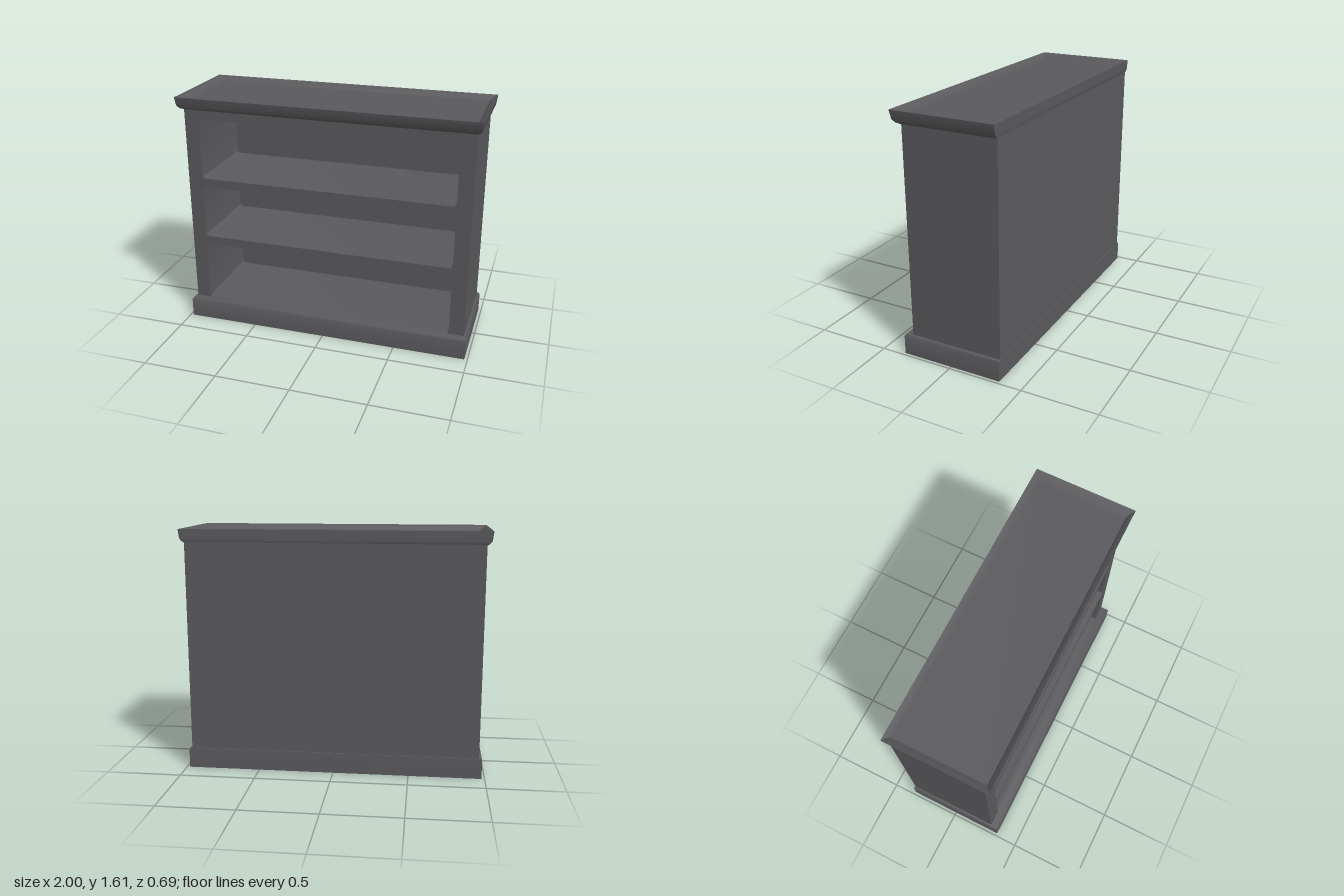
import * as THREE from 'three';
import { toCreasedNormals } from 'three/addons/utils/BufferGeometryUtils.js';

// Rectangle with small rounded corners, as a shape or a hole
function roundedRect(path, x, y0, y1, r) {
  path.moveTo(-x + r, y0);
  path.lineTo(x - r, y0);
  path.quadraticCurveTo(x, y0, x, y0 + r);
  path.lineTo(x, y1 - r);
  path.quadraticCurveTo(x, y1, x - r, y1);
  path.lineTo(-x + r, y1);
  path.quadraticCurveTo(-x, y1, -x, y1 - r);
  path.lineTo(-x, y0 + r);
  path.quadraticCurveTo(-x, y0, -x + r, y0);
  return path;
}

// Rectangular moulding through rows of [half width, front z, back z, y];
// cap closes the last row.
function moulding(rows, cap) {
  const corners = rows.map(([x, f, b, y]) => [[-x, y, f], [x, y, f], [x, y, b], [-x, y, b]]);
  const pos = [];
  const quad = (a, b, c, d) => pos.push(...a, ...b, ...c, ...a, ...c, ...d);
  for (let i = 0; i < corners.length - 1; i++) {
    for (let k = 0; k < 4; k++) {
      const n = (k + 1) % 4;
      quad(corners[i][k], corners[i][n], corners[i + 1][n], corners[i + 1][k]);
    }
  }
  if (cap) quad(...corners[corners.length - 1]);
  const g = new THREE.BufferGeometry();
  g.setAttribute('position', new THREE.Float32BufferAttribute(pos, 3));
  return toCreasedNormals(g, 0.6);
}

export function createModel() {
  const group = new THREE.Group();
  const wood = new THREE.MeshStandardMaterial({ color: 0x5a5a5d });
  wood.name = 'charcoalWood';
  const add = (name, geometry, x = 0, y = 0, z = 0) => {
    const m = new THREE.Mesh(geometry, wood);
    m.name = name;
    m.position.set(x, y, z);
    group.add(m);
  };

  // Case: sides, rail, floor and two shelves as one frame with three openings
  const frame = new THREE.Shape([
    new THREE.Vector2(-0.96, 0.07), new THREE.Vector2(0.96, 0.07),
    new THREE.Vector2(0.96, 1.525), new THREE.Vector2(-0.96, 1.525),
  ]);
  for (const [y0, y1] of [[0.14, 0.56], [0.62, 0.985], [1.045, 1.46]]) {
    frame.holes.push(roundedRect(new THREE.Path(), 0.86, y0, y1, 0.02));
  }
  const frameGeo = new THREE.ExtrudeGeometry(frame, {
    depth: 0.58, curveSegments: 4, bevelEnabled: false,
  });
  add('caseAndShelves', toCreasedNormals(frameGeo, 0.6), 0, 0, -0.29);

  // Back panel closing the openings
  add('backPanel', new THREE.BoxGeometry(1.92, 1.455, 0.05), 0, 0.7975, -0.315);

  // Flared top with a shallow tray inside its rim
  add('cornice', moulding([
    [0.955, 0.285, -0.335, 1.515],
    [0.975, 0.32, -0.342, 1.53],
    [0.99, 0.334, -0.343, 1.548],
    [0.998, 0.345, -0.343, 1.607],
    [0.985, 0.332, -0.335, 1.6],
    [0.95, 0.305, -0.31, 1.572],
  ], true));

  // Plinth, open underneath up to the recessed floor
  add('plinth', moulding([
    [0.92, 0.288, -0.315, 0.07],
    [0.955, 0.325, -0.33, 0.005],
    [0.98, 0.345, -0.343, 0.0],
    [0.98, 0.345, -0.343, 0.125],
    [0.972, 0.338, -0.342, 0.138],
    [0.95, 0.28, -0.335, 0.142],
  ], false));

  return group;
}
